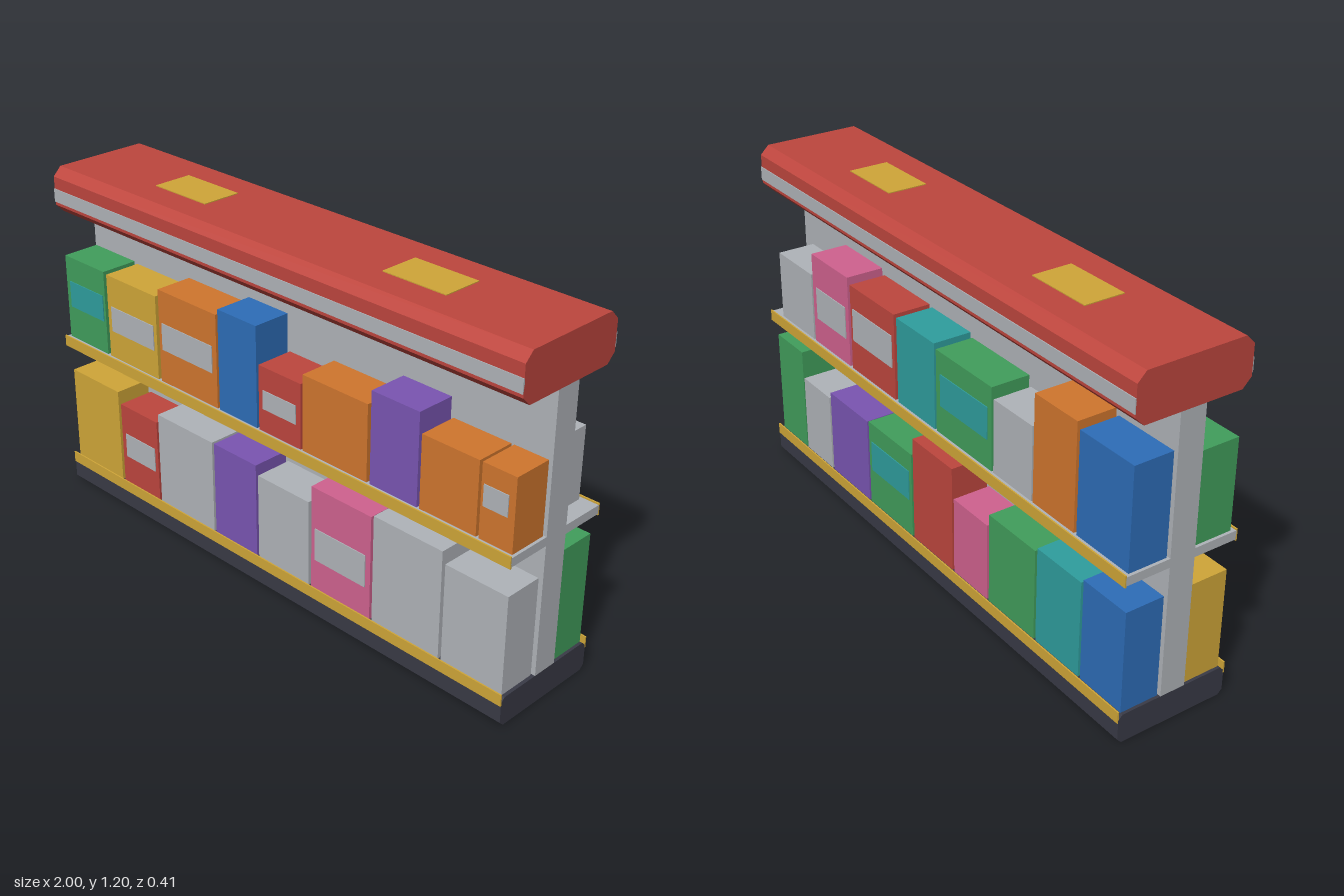
import * as THREE from 'three';

const mat = (name, color) => {
  const m = new THREE.MeshStandardMaterial({ color });
  m.name = name;
  return m;
};

export function createModel() {
  const M = {
    red: mat('red', 0xbe463e), grey: mat('grey', 0xb0b4b9), yellow: mat('yellow', 0xd0a638),
    dark: mat('dark slate', 0x393a46), green: mat('green', 0x419e5c), teal: mat('teal', 0x2f9e9e),
    orange: mat('orange', 0xd0762e), blue: mat('blue', 0x2d6db8), purple: mat('purple', 0x7a55b2),
    pink: mat('pink', 0xd0628f),
  };
  const model = new THREE.Group();
  model.name = 'storeShelf';

  // Box given by its extents
  function box(parent, name, material, x0, x1, y0, y1, z0, z1) {
    const mesh = new THREE.Mesh(
      new THREE.BoxGeometry(x1 - x0, y1 - y0, Math.abs(z1 - z0)), M[material]);
    mesh.position.set((x0 + x1) / 2, (y0 + y1) / 2, (z0 + z1) / 2);
    mesh.name = name;
    parent.add(mesh);
    return mesh;
  }

  // Full-length beam with chamfered long edges
  function beam(name, material, y0, y1, c) {
    const w = 0.2;
    const profile = new THREE.Shape([
      [-w + c, y0], [w - c, y0], [w, y0 + c], [w, y1 - c],
      [w - c, y1], [-w + c, y1], [-w, y1 - c], [-w, y0 + c],
    ].map(([a, b]) => new THREE.Vector2(a, b)));
    const geo = new THREE.ExtrudeGeometry(profile, { depth: 2, bevelEnabled: false });
    geo.translate(0, 0, -1).rotateY(Math.PI / 2);
    const mesh = new THREE.Mesh(geo, M[material]);
    mesh.name = name;
    model.add(mesh);
  }

  // Structure
  beam('base', 'dark', 0, 0.1, 0.015);
  beam('header', 'red', 1.04, 1.2, 0.03);
  box(model, 'centrePanel', 'grey', -1, 1, 0.1, 1.04, -0.045, 0.045);
  box(model, 'shelf', 'grey', -1, 1, 0.55, 0.58, -0.2, 0.2);

  // Price strips and header stripes on both faces
  for (const s of [1, -1]) {
    const z0 = s * 0.198, z1 = s * 0.203;
    box(model, 'baseStrip', 'yellow', -1, 1, 0.075, 0.115, z0, z1);
    box(model, 'shelfStrip', 'yellow', -1, 1, 0.545, 0.585, z0, z1);
    box(model, 'headerStripe', 'grey', -1, 1, 1.082, 1.128, z0, z1);
    box(model, 'roofPlate', 'yellow', s * 0.5 - 0.12, s * 0.5 + 0.12, 1.198, 1.203, -0.07, 0.07);
  }

  // Products: [colour, x0, x1, top, label [colour, x0, x1, y0, y1]]
  function row(name, side, floor, items) {
    const group = new THREE.Group();
    group.name = name;
    for (const [color, x0, x1, top, label] of items) {
      box(group, 'product', color, x0, x1, floor, top, side * 0.05, side * 0.185);
      if (label) {
        const [lc, ...extent] = label;
        box(group, 'productLabel', lc, ...extent, side * 0.183, side * 0.188);
      }
    }
    model.add(group);
  }

  row('frontUpperProducts', 1, 0.58, [
    ['green', -0.99, -0.78, 0.885, ['teal', -0.97, -0.79, 0.7, 0.795]],
    ['yellow', -0.765, -0.51, 0.88, ['grey', -0.745, -0.525, 0.68, 0.77]],
    ['orange', -0.495, -0.215, 0.91, ['grey', -0.48, -0.235, 0.7, 0.795]],
    ['blue', -0.205, -0.03, 0.932],
    ['red', -0.02, 0.165, 0.805, ['grey', 0, 0.145, 0.66, 0.725]],
    ['orange', 0.173, 0.442, 0.84],
    ['purple', 0.455, 0.64, 0.89],
    ['orange', 0.65, 0.86, 0.825],
    ['orange', 0.87, 0.99, 0.825, ['grey', 0.88, 0.967, 0.69, 0.76]],
  ]);
  row('frontLowerProducts', 1, 0.1, [
    ['yellow', -0.99, -0.74, 0.447],
    ['red', -0.727, -0.535, 0.405, ['grey', -0.705, -0.55, 0.208, 0.297]],
    ['grey', -0.525, -0.25, 0.44],
    ['purple', -0.24, -0.04, 0.44],
    ['grey', -0.03, 0.2, 0.407],
    ['pink', 0.212, 0.465, 0.47, ['grey', 0.23, 0.445, 0.21, 0.325]],
    ['grey', 0.475, 0.745, 0.478],
    ['grey', 0.757, 0.988, 0.44],
  ]);
  row('backUpperProducts', -1, 0.58, [
    ['grey', 0.715, 0.94, 0.825],
    ['pink', 0.47, 0.705, 0.905, ['grey', 0.49, 0.68, 0.675, 0.79]],
    ['red', 0.185, 0.455, 0.885, ['grey', 0.2, 0.44, 0.69, 0.805]],
    ['teal', -0.045, 0.17, 0.88],
    ['green', -0.35, -0.055, 0.865, ['teal', -0.33, -0.08, 0.68, 0.79]],
    ['grey', -0.55, -0.36, 0.83],
    ['orange', -0.75, -0.557, 0.94],
    ['blue', -0.99, -0.762, 0.92],
  ]);
  row('backLowerProducts', -1, 0.1, [
    ['green', 0.815, 0.99, 0.485],
    ['grey', 0.63, 0.808, 0.385],
    ['purple', 0.375, 0.62, 0.41],
    ['green', 0.1, 0.365, 0.415, ['teal', 0.115, 0.347, 0.235, 0.345]],
    ['red', -0.137, 0.09, 0.48],
    ['pink', -0.33, -0.147, 0.375],
    ['green', -0.575, -0.34, 0.42],
    ['teal', -0.793, -0.585, 0.435],
    ['blue', -0.99, -0.803, 0.45],
  ]);

  return model;
}
